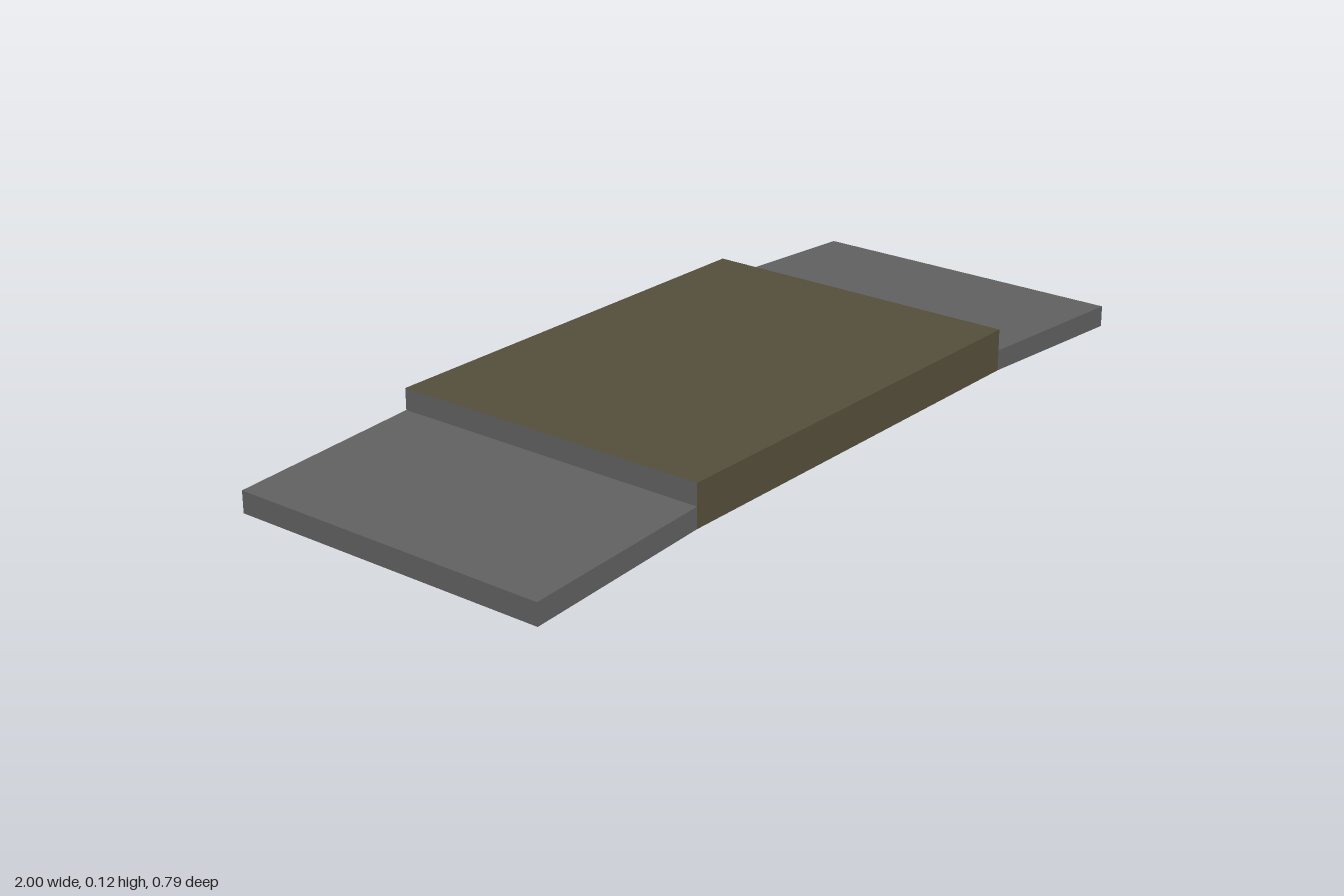
import * as THREE from 'three';

const DEPTH = 0.79;   // full size along z
const HALF = 0.54;    // half width of the raised block
const BASE = 0.027;   // underside of the raised block
const TOP = 0.125;

export function createModel() {
  const grey = new THREE.MeshStandardMaterial({ color: 0x606060 });
  grey.name = 'slate grey';
  const olive = new THREE.MeshStandardMaterial({ color: 0x544e3a });
  olive.name = 'olive brown';

  const model = new THREE.Group();
  model.name = 'rampedPlatform';

  // Raised block: olive top, front and back, grey ends and underside
  const block = new THREE.Mesh(
    new THREE.BoxGeometry(HALF * 2, TOP - BASE, DEPTH),
    [grey, grey, olive, grey, olive, olive]
  );
  block.position.y = (TOP + BASE) / 2;
  block.name = 'raisedBlock';
  model.add(block);

  // Gently sloping plate on each side
  for (const side of [1, -1]) {
    const outline = new THREE.Shape([
      [HALF, BASE], [1, 0], [1, 0.05], [HALF, 0.075],
    ].map(([x, y]) => new THREE.Vector2(side * x, y)));
    const geometry = new THREE.ExtrudeGeometry(outline, { depth: DEPTH, bevelEnabled: false });
    geometry.translate(0, 0, -DEPTH / 2);
    const plate = new THREE.Mesh(geometry, grey);
    plate.name = side > 0 ? 'leftSlopingPlate' : 'rightSlopingPlate';
    model.add(plate);
  }

  return model;
}
